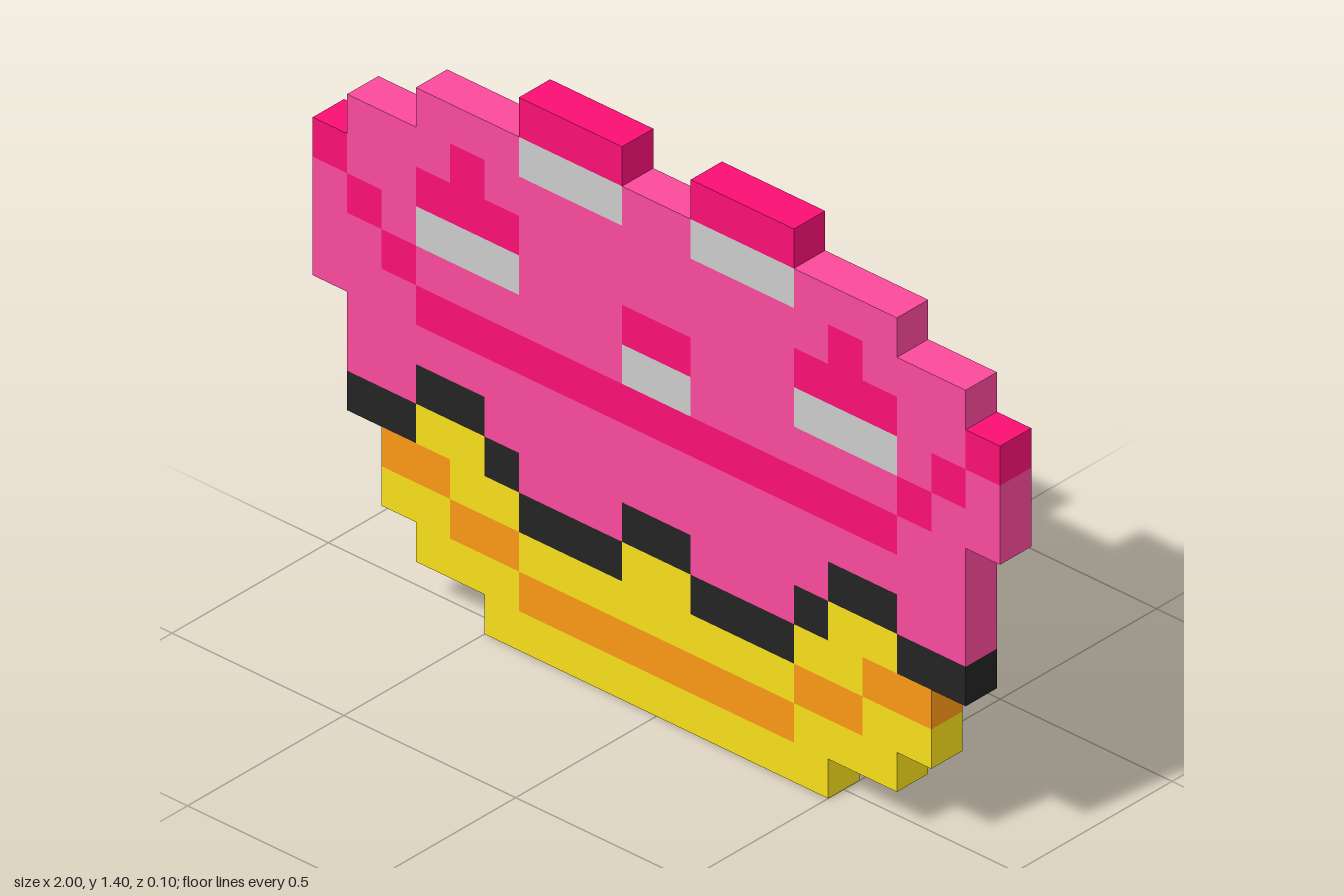
import * as THREE from 'three';
import { mergeGeometries } from 'three/addons/utils/BufferGeometryUtils.js';

const CELL = 0.1;

// Pixel rows, top to bottom; each letter is one cube of a part
const ROWS = [
  '......rrr..rrr......',
  '...pppwwwppwwwppp...',
  '.ppprpppppppppprppp.',
  'rpprrrpppppppprrrppr',
  'prpwwwppprrpppwwwprp',
  'pprppppppwwpppppprpp',
  'ppprrrrrrrrrrrrrrpp.',
  '.pppppppppppppppppp.',
  '.ppkkppppppppppkkpp.',
  '.kkyykpppkkpppkyykk.',
  '..ooyykkkyykkkyyoo..',
  '..yyooyyyyyyyyooyy..',
  '...yyyooooooooyyy...',
  '.....yyyyyyyyyy.....',
];

const PARTS = {
  p: { name: 'frosting', color: 0xfa4a9c },
  r: { name: 'frostingSwirls', color: 0xfa0f74 },
  w: { name: 'highlights', color: 0xcccccc },
  k: { name: 'frostingDrip', color: 0x232323 },
  y: { name: 'cup', color: 0xf7de1b },
  o: { name: 'cupStripes', color: 0xfa9915 },
};

const at = (r, c) => ROWS[r]?.[c] ?? '.';

// One square facing +z, turned to face the wanted side of the cube
function face(x, y, rx, ry) {
  const g = new THREE.PlaneGeometry(CELL, CELL);
  g.translate(0, 0, CELL / 2);
  g.rotateX(rx);
  g.rotateY(ry);
  return g.translate(x, y, 0);
}

// Outer faces of all cubes of one part; sides only along the silhouette
function partGeometry(key) {
  const faces = [];
  const q = Math.PI / 2;
  ROWS.forEach((row, r) => {
    for (let c = 0; c < row.length; c++) {
      if (row[c] !== key) continue;
      const x = (c + 0.5 - row.length / 2) * CELL;
      const y = (ROWS.length - r - 0.5) * CELL;
      faces.push(face(x, y, 0, 0), face(x, y, 0, Math.PI));
      if (at(r, c + 1) === '.') faces.push(face(x, y, 0, q));
      if (at(r, c - 1) === '.') faces.push(face(x, y, 0, -q));
      if (at(r - 1, c) === '.') faces.push(face(x, y, -q, 0));
      if (at(r + 1, c) === '.') faces.push(face(x, y, q, 0));
    }
  });
  return mergeGeometries(faces);
}

export function createModel() {
  const model = new THREE.Group();
  model.name = 'pixelCupcake';
  for (const [key, { name, color }] of Object.entries(PARTS)) {
    const mesh = new THREE.Mesh(partGeometry(key), new THREE.MeshStandardMaterial({ color }));
    mesh.name = name;
    model.add(mesh);
  }
  return model;
}
